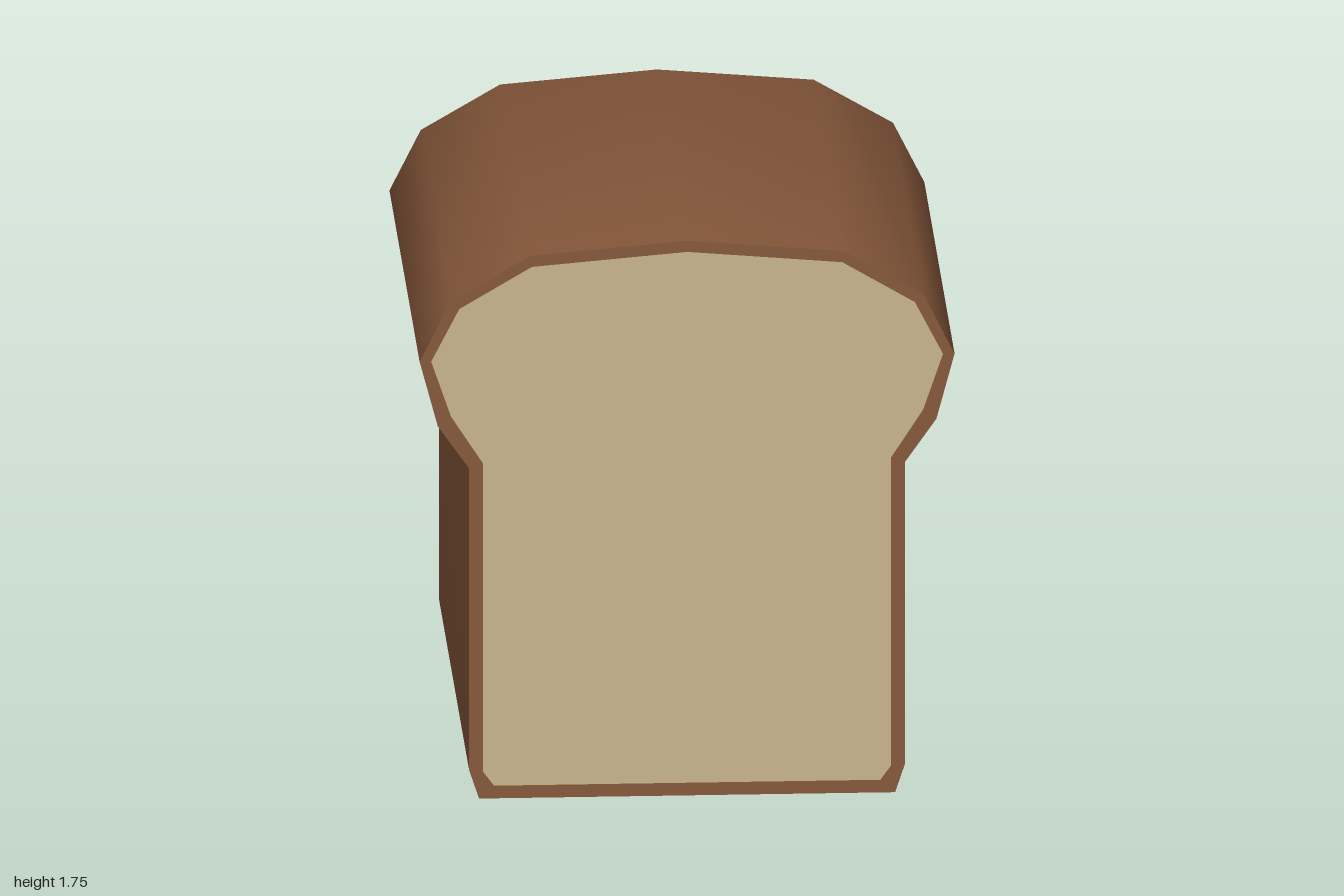
import * as THREE from 'three';
import { toCreasedNormals } from 'three/addons/utils/BufferGeometryUtils.js';

const FRONT = 1, WALL = -0.76;

// Half outlines of the slice, from top centre down to the base
const CROWN = [[0, 1.755], [0.475, 1.715], [0.715, 1.575], [0.81, 1.385], [0.755, 1.18], [0.66, 1.045]];
const SIDES = [[0.66, 1.045], [0.66, 0.09], [0.63, 0]];
const CRUMB = [[0, 1.72], [0.47, 1.68], [0.69, 1.55], [0.775, 1.385], [0.715, 1.21], [0.618, 1.06], [0.618, 0.085], [0.585, 0.04]];

// Cross-sections rounding off the overhanging back of the crown
const BACK_RINGS = [
  [[0, 1.67, -0.91], [0.42, 1.635, -0.91], [0.62, 1.53, -0.9], [0.69, 1.385, -0.88], [0.66, 1.18, -0.88], [0.66, 1.045, WALL]],
  [[0, 1.4, -1], [0.2, 1.4, -1], [0.33, 1.38, -1], [0.33, 1.28, -1], [0.33, 1.18, -1], [0.33, 1.045, WALL]],
  [[0, 1.4, -1], [0, 1.4, -1], [0, 1.38, -1], [0, 1.28, -1], [0, 1.18, -1], [0, 1.045, WALL]],
];

const atZ = (points, z) => points.map(([x, y]) => [x, y, z]);

// Half outline starting at the top centre -> full row from left edge to right edge
const mirrorRow = (half) => [...half.slice(1).reverse().map(([x, y, z]) => [-x, y, z]), ...half];

// Skin a list of equal-length rows, leaving out collapsed triangles
function loft(rows, crease) {
  const positions = [];
  const tri = (...corners) => {
    const v = corners.map((p) => new THREE.Vector3(...p));
    if (new THREE.Triangle(...v).getArea() > 1e-6) v.forEach((p) => positions.push(p.x, p.y, p.z));
  };
  for (let r = 0; r < rows.length - 1; r++) {
    const a = rows[r], b = rows[r + 1];
    for (let i = 0; i < a.length - 1; i++) {
      tri(a[i], a[i + 1], b[i + 1]);
      tri(a[i], b[i + 1], b[i]);
    }
  }
  const geometry = new THREE.BufferGeometry();
  geometry.setAttribute('position', new THREE.Float32BufferAttribute(positions, 3));
  return toCreasedNormals(geometry, crease);
}

// Closed symmetric outline from a half outline
function outline(half) {
  const left = half.filter(([x]) => x > 0).reverse().map(([x, y]) => [-x, y]);
  return [...half, ...left].map(([x, y]) => new THREE.Vector2(x, y));
}

export function createModel() {
  const group = new THREE.Group();
  const crust = new THREE.MeshStandardMaterial({ color: 0x85573a });
  const crumb = new THREE.MeshStandardMaterial({ color: 0xc8b48a });
  const add = (name, geometry, material) => {
    const mesh = new THREE.Mesh(geometry, material);
    mesh.name = name;
    group.add(mesh);
    return mesh;
  };

  // Rounded crown with its bulging back end
  const crownRows = [atZ(CROWN, FRONT), atZ(CROWN, WALL), ...BACK_RINGS].map(mirrorRow);
  add('crown', loft(crownRows, 0.95), crust);

  // Straight sides and base
  const tray = [...SIDES, ...SIDES.slice().reverse().map(([x, y]) => [-x, y])];
  add('sidesAndBase', loft([atZ(tray, FRONT), atZ(tray, WALL)], 0.6), crust);

  // Flat wall under the back overhang
  const wall = add('backWall', new THREE.ShapeGeometry(new THREE.Shape(outline(SIDES))), crust);
  wall.rotation.y = Math.PI;
  wall.position.z = WALL;

  // Cut face: crust rim around the crumb
  const rim = new THREE.Shape(outline([...CROWN, ...SIDES.slice(1)]));
  rim.holes.push(new THREE.Path(outline(CRUMB)));
  add('crustRim', new THREE.ShapeGeometry(rim), crust).position.z = FRONT;
  add('crumbFace', new THREE.ShapeGeometry(new THREE.Shape(outline(CRUMB))), crumb).position.z = FRONT;

  return group;
}
